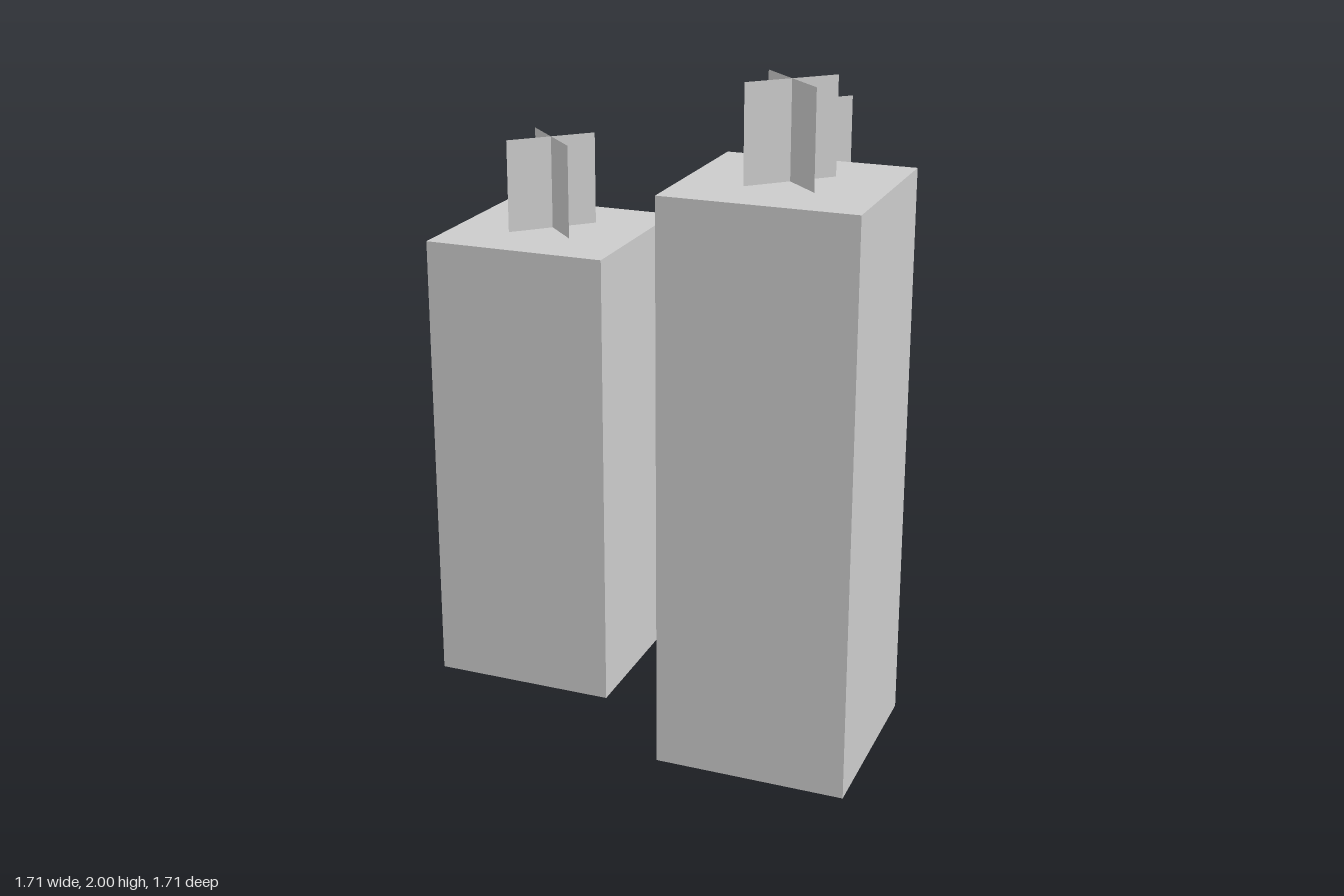
import * as THREE from 'three';

const U = 1 / 7; // modelling grid unit

export function createModel() {
  const group = new THREE.Group();
  group.name = 'candleCluster';
  const wax = new THREE.MeshStandardMaterial({ color: 0xcccccc, flatShading: true });
  const wickMaterial = new THREE.MeshStandardMaterial({
    color: 0xcccccc, flatShading: true, side: THREE.DoubleSide,
  });
  const wickGeometry = new THREE.PlaneGeometry(2 * U, 2 * U);

  // One candle: a square block with two crossed thin sheets as its wick
  function addCandle(name, x, z, height) {
    const candle = new THREE.Group();
    candle.name = name;
    candle.position.set(x * U, 0, z * U);

    const body = new THREE.Mesh(new THREE.BoxGeometry(4 * U, height * U, 4 * U), wax);
    body.name = 'candleBody';
    body.position.y = height * U / 2;
    candle.add(body);

    for (const side of [-1, 1]) {
      const wick = new THREE.Mesh(wickGeometry, wickMaterial);
      wick.name = 'wickSheet';
      wick.position.y = (height + 1) * U;
      wick.rotation.y = side * Math.PI / 4;
      candle.add(wick);
    }
    group.add(candle);
  }

  // Position and height in grid units
  addCandle('tallCandle', 4, 4, 12);
  addCandle('frontRightCandle', -2, 2, 10);
  addCandle('backLeftCandle', 2, -4, 10);
  addCandle('shortCandle', -4, -4, 6);

  return group;
}
